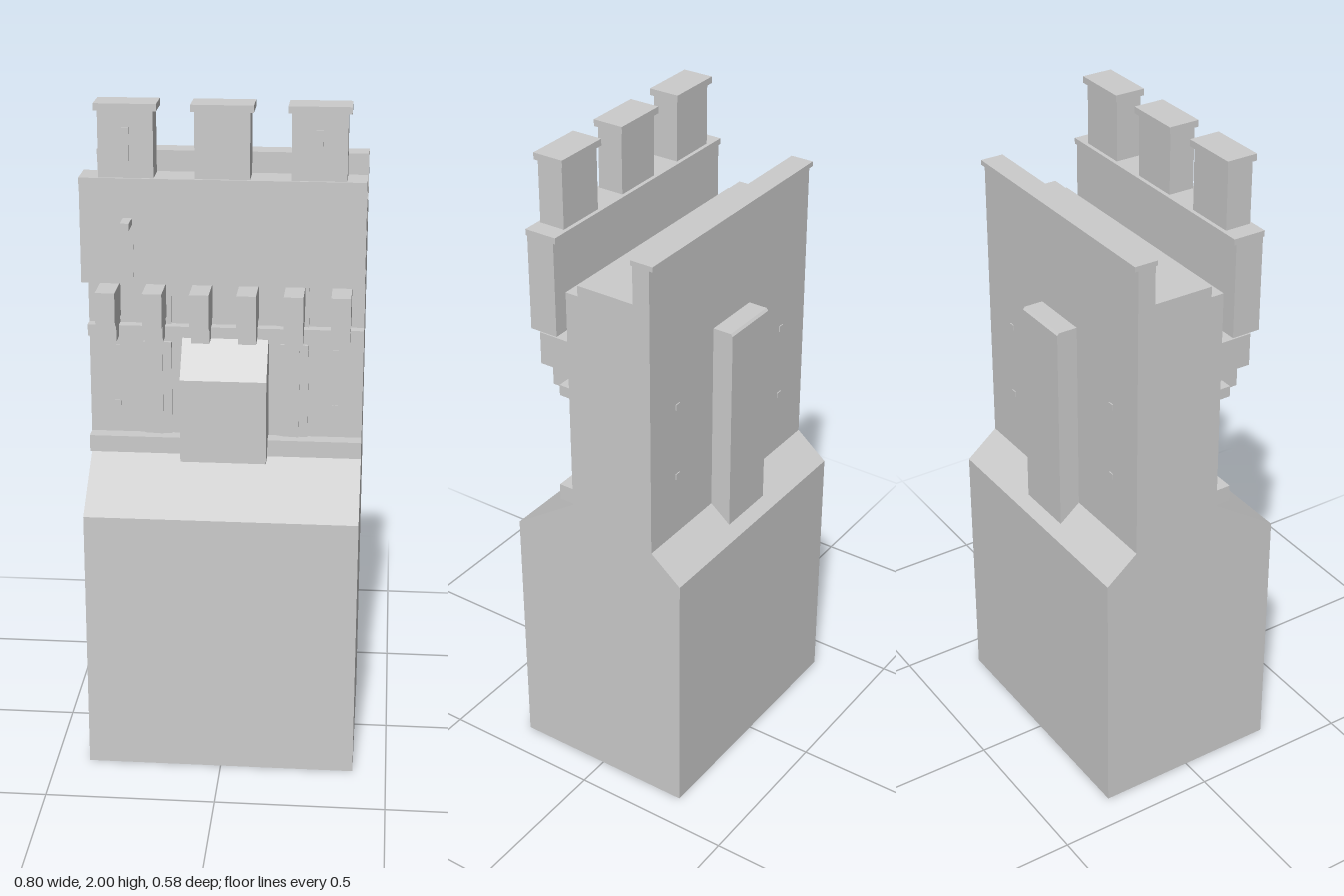
import * as THREE from 'three';

export function createModel() {
  const root = new THREE.Group();
  const mat = new THREE.MeshStandardMaterial({ color: 0xcccccc, flatShading: true });

  function add(name, geometry) {
    const mesh = new THREE.Mesh(geometry, mat);
    mesh.name = name;
    root.add(mesh);
    return mesh;
  }

  // Box given by its limits on each axis
  function box(name, x0, x1, y0, y1, z0, z1) {
    const g = new THREE.BoxGeometry(x1 - x0, y1 - y0, z1 - z0);
    g.translate((x0 + x1) / 2, (y0 + y1) / 2, (z0 + z1) / 2);
    return add(name, g);
  }

  // Side profile of [z, y] points, extruded along x and centred
  function profile(name, points, width) {
    const shape = new THREE.Shape(points.map(([z, y]) => new THREE.Vector2(-z, y)));
    const g = new THREE.ExtrudeGeometry(shape, { depth: width, bevelEnabled: false });
    g.translate(0, 0, -width / 2);
    g.rotateY(Math.PI / 2);
    return add(name, g);
  }

  // Wall with sloped plinth, wall walk and rear parapet
  profile('wall', [
    [0.29, 0], [0.29, 0.805], [0.085, 0.945], [0.085, 1.64], [0.045, 1.64], [0.045, 1.672],
    [-0.138, 1.672], [-0.138, 1.785], [-0.192, 1.785], [-0.192, 0.885], [-0.29, 0.805], [-0.29, 0],
  ], 0.8);
  box('rearCoping', -0.4, 0.4, 1.785, 1.8, -0.203, -0.132);

  // Rear buttress with a bevelled top
  profile('rearButtress', [
    [-0.19, 0.83], [-0.19, 1.475], [-0.25, 1.475], [-0.256, 1.468], [-0.256, 0.83],
  ], 0.185);

  // Overhanging front parapet and merlons
  box('parapet', -0.4, 0.4, 1.49, 1.775, 0.122, 0.21);
  box('parapetCoping', -0.4, 0.4, 1.775, 1.793, 0.115, 0.215);
  for (const x of [-0.268, 0, 0.268]) {
    box('merlon', x - 0.077, x + 0.077, 1.79, 1.98, 0.127, 0.207);
    box('merlonCap', x - 0.087, x + 0.087, 1.98, 2, 0.118, 0.213);
    if (x) box('merlonSlit', x - 0.01, x + 0.01, 1.84, 1.935, 0.2, 0.213);
  }

  // Water spout and its stain strip
  box('spout', -0.278, -0.253, 1.66, 1.68, 0.2, 0.276);
  box('spoutStain', -0.28, -0.25, 1.51, 1.66, 0.2, 0.212);

  // Stepped corbels under the parapet
  for (const x of [-0.335, -0.201, -0.067, 0.067, 0.201, 0.335]) {
    box('corbelUpper', x - 0.028, x + 0.028, 1.36, 1.46, 0.08, 0.21);
    box('corbelLower', x - 0.026, x + 0.026, 1.305, 1.36, 0.08, 0.17);
  }

  // String courses
  box('upperCourse', -0.4, 0.4, 1.305, 1.338, 0.08, 0.118);
  box('lowerCourse', -0.4, 0.4, 0.95, 1, 0.08, 0.13);

  // Central projecting bay with a sloped roof
  profile('bay', [
    [0.08, 0.95], [0.195, 0.95], [0.195, 1.2], [0.11, 1.305], [0.08, 1.305],
  ], 0.25);

  for (const s of [-1, 1]) {
    // Shallow pilaster panels
    const x = s * 0.2;
    box('pilaster', x - 0.041, x + 0.041, 1, 1.555, 0.08, 0.092);
    box('pilasterHead', x - 0.041, x + 0.041, 1.268, 1.285, 0.08, 0.102);
    box('pilasterSlit', x - 0.015, x + 0.015, 1, 1.268, 0.08, 0.097);
    // Small putlog marks
    for (const y of [1.09, 1.26])
      box('frontPutlog', s * 0.32 - 0.009, s * 0.32 + 0.009, y - 0.009, y + 0.009, 0.08, 0.089);
    for (const y of [1.08, 1.31])
      box('rearPutlog', s * 0.27 - 0.009, s * 0.27 + 0.009, y - 0.009, y + 0.009, -0.195, -0.188);
  }

  return root;
}
